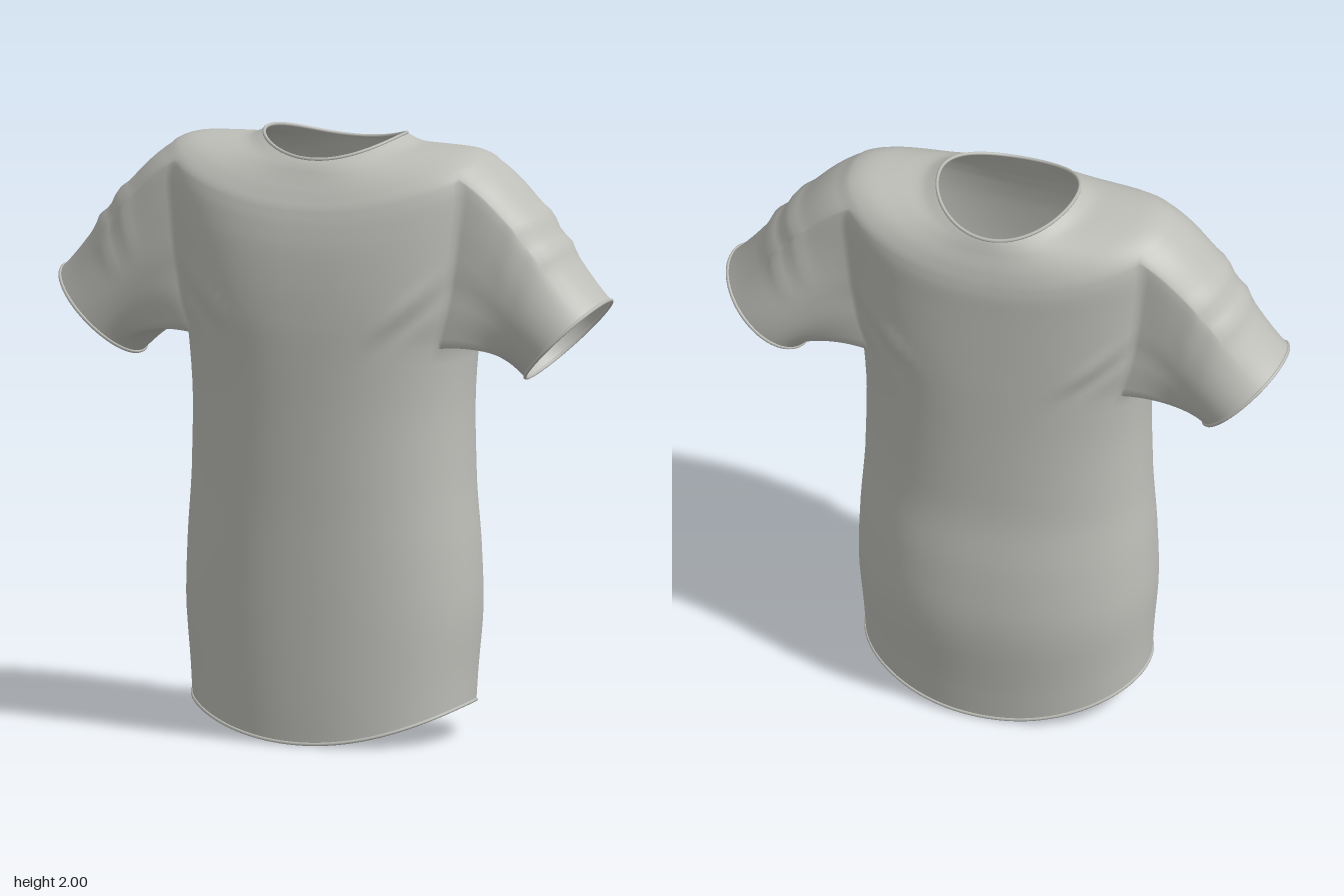
import * as THREE from 'three';

const COLS = 96, SUB = 4, HALF = 8, HOLE0 = 6, HOLE1 = 11, SLEEVE_RINGS = 20;

// Torso sections: y at side, y at centre, half width, front z, back z, squareness
const SECTIONS = [
  [0.125, 0.01, 0.478, 0.33, -0.3, 2.2],
  [0.23, 0.14, 0.484, 0.333, -0.312, 2.2],
  [0.45, 0.4, 0.5, 0.335, -0.338, 2.2],
  [0.65, 0.62, 0.494, 0.335, -0.325, 2.2],
  [0.85, 0.84, 0.48, 0.336, -0.3, 2.2],
  [1.1, 1.1, 0.475, 0.34, -0.298, 2.2],
  [1.33, 1.33, 0.488, 0.346, -0.3, 2.3],
  [1.45, 1.45, 0.52, 0.346, -0.3, 2.4],
  [1.6, 1.56, 0.545, 0.341, -0.3, 2.4],
  [1.75, 1.66, 0.56, 0.331, -0.3, 2.4],
  [1.87, 1.74, 0.57, 0.315, -0.3, 2.4],
  [1.93, 1.79, 0.56, 0.3, -0.294, 2.4],
  [1.965, 1.84, 0.49, 0.275, -0.282, 2.3],
  [1.972, 1.885, 0.38, 0.25, -0.266, 2.2],
  [1.975, 1.92, 0.29, 0.23, -0.254, 2.1],
  [2.0, 1.94, 0.235, 0.212, -0.245, 2],
];

const spow = (v, p) => Math.sign(v) * Math.pow(Math.abs(v), p);
const bump = (v, centre, width) => Math.exp(-(((v - centre) / width) ** 2));

export function createModel() {
  const group = new THREE.Group();
  const fabric = new THREE.MeshStandardMaterial({ color: 0xbebeb9, side: THREE.DoubleSide });
  fabric.name = 'light grey fabric';

  const points = [];
  const rows = (SECTIONS.length - 1) * SUB + 1;
  const heights = new THREE.CatmullRomCurve3(SECTIONS.map(s => new THREE.Vector3(s[0], s[1], s[5])));
  const widths = new THREE.CatmullRomCurve3(SECTIONS.map(s => new THREE.Vector3(s[2], s[3], s[4])));
  const at = (i, j) => i * COLS + ((j + COLS) % COLS);

  // Torso grid from hem to neck
  for (let i = 0; i < rows; i++) {
    const h = heights.getPoint(i / (rows - 1)), w = widths.getPoint(i / (rows - 1));
    for (let j = 0; j < COLS; j++) {
      const a = (j / COLS) * Math.PI * 2;
      const cx = spow(Math.cos(a), 2 / h.z), cz = spow(Math.sin(a), 2 / h.z);
      const x = w.x * cx, y = h.y + (h.x - h.y) * cx * cx;
      let z = cz > 0 ? w.y * cz : -w.z * cz;
      // diagonal creases running from the armpits
      const along = (Math.abs(x) + y - 1.82) / 0.17, across = y - Math.abs(x) - 1.1;
      z += Math.sign(cz) * 0.01 * Math.exp(-along * along) * (bump(across, 0.03, 0.03) - bump(across, -0.04, 0.03));
      points.push(new THREE.Vector3(x, y, z));
    }
  }

  // Torso faces, leaving an armhole on each side
  const r0 = HOLE0 * SUB, r1 = HOLE1 * SUB;
  const inHole = (i, j) => i >= r0 && i < r1 &&
    [0, COLS / 2].some(c => { const d = (j - c + COLS) % COLS; return d < HALF || d >= COLS - HALF; });
  const torsoIndex = [];
  const quad = (list, a, b, c, d) => list.push(a, c, b, b, c, d);
  for (let i = 0; i < rows - 1; i++)
    for (let j = 0; j < COLS; j++)
      if (!inHole(i, j)) quad(torsoIndex, at(i, j), at(i, j + 1), at(i + 1, j), at(i + 1, j + 1));

  // Sleeves grow from the armhole edge to a round cuff
  const R = Math.SQRT1_2;
  const sleeves = [1, -1].map(side => {
    const c = side > 0 ? 0 : COLS / 2, loop = [];
    for (let j = -HALF; j < HALF; j++) loop.push(at(r0, c + j));
    for (let i = r0; i < r1; i++) loop.push(at(i, c + HALF));
    for (let j = HALF; j > -HALF; j--) loop.push(at(r1, c + j));
    for (let i = r1; i > r0; i--) loop.push(at(i, c - HALF));
    const paths = loop.map(k => {
      const p0 = points[k];
      const ang = Math.atan2((p0.y - 1.63) / 0.29, p0.z / 0.18);
      const up = Math.sin(ang), out = Math.cos(ang);
      const radial = new THREE.Vector3(side * R * up, R * up, out);
      const p3 = new THREE.Vector3(side * 0.815, 1.355, -0.01).addScaledVector(radial, 0.19);
      const len = p0.distanceTo(p3) / 3.3;
      const p1 = p0.clone().add(new THREE.Vector3(side * 0.9, -0.15 - 0.45 * up, 0).multiplyScalar(len));
      const p2 = p3.clone().add(new THREE.Vector3(-side * R, R, 0).multiplyScalar(len));
      return { curve: new THREE.CubicBezierCurve3(p0, p1, p2, p3), radial, up };
    });
    const index = [];
    let previous = loop;
    for (let m = 1; m <= SLEEVE_RINGS; m++) {
      const u = m / SLEEVE_RINGS;
      const ring = paths.map(({ curve, radial, up }) => {
        // soft folds across the upper sleeve
        const fold = 0.012 * Math.max(0, up) * (bump(u, 0.42, 0.06) + bump(u, 0.6, 0.05));
        points.push(curve.getPoint(u).addScaledVector(radial, fold));
        return points.length - 1;
      });
      for (let p = 0; p < ring.length; p++) {
        const q = (p + 1) % ring.length;
        quad(index, previous[p], previous[q], ring[p], ring[q]);
      }
      previous = ring;
    }
    return { index, cuff: previous };
  });

  // Shared vertices give smooth normals across the armhole seams
  const cloth = new THREE.BufferGeometry().setFromPoints(points);
  cloth.setIndex([...torsoIndex, ...sleeves[0].index, ...sleeves[1].index]);
  cloth.computeVertexNormals();
  const addCloth = (name, index) => {
    const geometry = new THREE.BufferGeometry();
    geometry.setAttribute('position', cloth.attributes.position);
    geometry.setAttribute('normal', cloth.attributes.normal);
    geometry.setIndex(index);
    const mesh = new THREE.Mesh(geometry, fabric);
    mesh.name = name;
    group.add(mesh);
  };
  addCloth('torso', torsoIndex);
  addCloth('leftSleeve', sleeves[0].index);
  addCloth('rightSleeve', sleeves[1].index);

  // Rolled edges around every opening
  const addEdge = (name, ids) => {
    const path = new THREE.CatmullRomCurve3(ids.map(k => points[k]), true);
    const mesh = new THREE.Mesh(new THREE.TubeGeometry(path, 96, 0.006, 6, true), fabric);
    mesh.name = name;
    group.add(mesh);
  };
  const rowIds = i => Array.from({ length: COLS }, (_, j) => at(i, j));
  addEdge('hemEdge', rowIds(0));
  addEdge('neckEdge', rowIds(rows - 1));
  addEdge('leftCuffEdge', sleeves[0].cuff);
  addEdge('rightCuffEdge', sleeves[1].cuff);

  // Small folded tabs inside the hem
  const addTab = (name, z, halfWidth, length, turn) => {
    const tab = new THREE.Mesh(new THREE.CylinderGeometry(1, 1, 1, 24, 1, false, Math.PI / 2, Math.PI), fabric);
    tab.name = name;
    tab.scale.set(halfWidth, 0.012, length);
    tab.rotation.y = turn;
    tab.position.set(-0.02, 0.018, z);
    group.add(tab);
  };
  addTab('frontHemTab', 0.325, 0.08, 0.135, 0);
  addTab('backHemTab', -0.295, 0.04, 0.09, Math.PI);

  return group;
}
